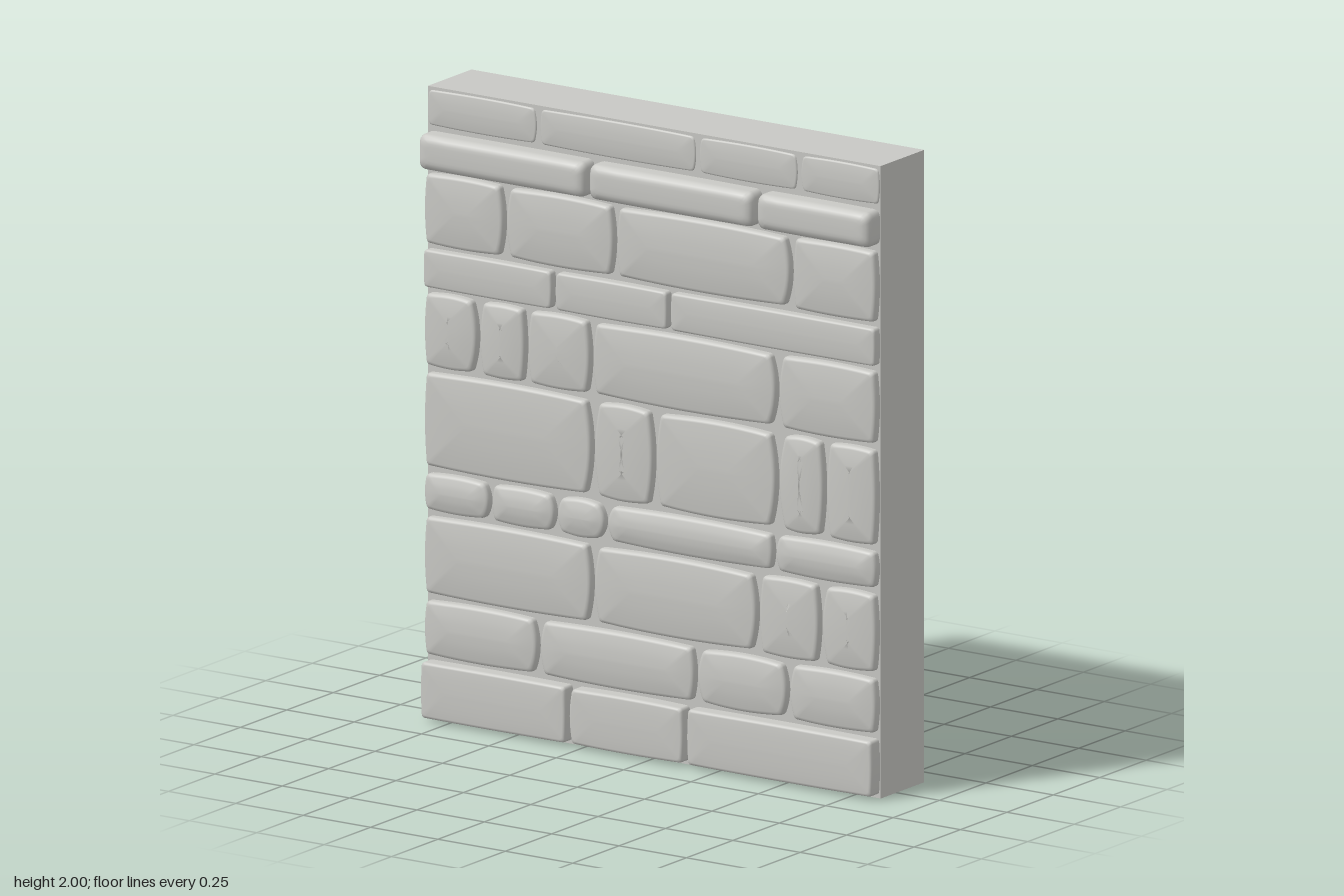
import * as THREE from 'three';

const stoneMat = new THREE.MeshStandardMaterial({ color: 0xc8c8c4 });
stoneMat.name = 'paleGreyStone';

const WALL_FRONT = 0.085;
const HALF_WIDTH = 0.845;
const HALF_GAP = 0.007;

// Stone finishes: front depth, edge rounding, dome of the face, bowing of the sides
const rough = { z: 0.12, edge: 0.012, dome: 0.008, bow: 0.022 };
const plinth = { z: 0.135, edge: 0.01, dome: 0.003, bow: 0.01 };
const band = { z: 0.118, edge: 0.008, dome: 0.003, bow: 0.006 };
const ledge = { z: 0.15, edge: 0.025, dome: 0.001, bow: 0.004 };
const cap = { z: 0.094, edge: 0.006, dome: 0.004, bow: 0.014 };

// Courses from the ground up: top height and upright joints between stones
const courses = [
  { name: 'plinth', finish: plinth, top: 0.197, joints: [-0.293, 0.143] },
  { name: 'lowCourse', finish: rough, top: 0.391, joints: [-0.414, 0.17, 0.512] },
  { name: 'lowTallCourse', finish: rough, top: 0.657, joints: [-0.213, 0.4, 0.632] },
  { name: 'smallCourse', finish: rough, top: 0.793, joints: [-0.593, -0.35, -0.164, 0.46] },
  { name: 'tallestCourse', finish: rough, top: 1.113, joints: [-0.213, 0.016, 0.472, 0.649] },
  { name: 'mixedCourse', finish: rough, top: 1.363, joints: [-0.638, -0.46, -0.218, 0.472] },
  { name: 'bandCourse', finish: band, top: 1.498, joints: [-0.356, 0.072] },
  { name: 'upperCourse', finish: rough, top: 1.741, joints: [-0.539, -0.13, 0.525] },
  { name: 'ledge', finish: ledge, top: 1.869, joints: [-0.213, 0.41] },
  { name: 'topCourse', finish: cap, top: 2, joints: [-0.428, 0.163, 0.54] },
];

// Small seeded generator for the uneven stone sides
let seed = 7;
function random() {
  seed = (seed * 16807) % 2147483647;
  return seed / 2147483647;
}

// Rounded rectangle in counter-clockwise order, with extra points along each side
function roundedOutline(hw, hh, r) {
  const corners = [[1, -1], [1, 1], [-1, 1], [-1, -1]];
  const arcs = corners.map(([sx, sy], k) => [0, 1, 2, 3].map((i) => {
    const a = (k - 1 + i / 3) * Math.PI / 2;
    return new THREE.Vector2(sx * (hw - r) + r * Math.cos(a), sy * (hh - r) + r * Math.sin(a));
  }));
  return arcs.flatMap((arc, k) => {
    const next = arcs[(k + 1) % 4][0];
    const side = [1, 2, 3, 4, 5, 6, 7].map((i) => arc[3].clone().lerp(next, i / 8));
    return [...arc, ...side];
  });
}

// A stone is a bowed outline repeated in rings that step forward and inward
function stoneGeometry(x0, x1, y0, y1, finish, bowL, bowR) {
  const { z, edge, dome } = finish;
  const hw = (x1 - x0) / 2, hh = (y1 - y0) / 2;
  const cx = (x0 + x1) / 2, cy = (y0 + y1) / 2;
  const m = Math.min(hw, hh);
  const bowY = (bowL + bowR) * 0.25;
  const outline = roundedOutline(hw, hh, Math.max(0.01, edge * 0.8));
  const n = outline.length;
  const shoulder = z - dome;
  const pos = [], idx = [];
  const addRing = (inset, rz) => {
    for (const p of outline) {
      const u = p.x / hw, v = p.y / hh;
      const bow = u > 0 ? bowR : bowL;
      const fade = 1 - inset / m;
      pos.push(cx + u * (hw - inset - bow * v * v), cy + v * (hh - inset - bowY * u * u * fade), rz);
    }
  };
  // Side, rounded edge, then domed face
  addRing(0, WALL_FRONT - 0.01);
  for (let i = 0; i <= 3; i++) {
    const a = (i / 3) * Math.PI / 2;
    addRing(edge * (1 - Math.cos(a)), shoulder - edge * (1 - Math.sin(a)));
  }
  for (let i = 1; i <= 3; i++) {
    const t = i / 3;
    addRing(edge + (m * 0.95 - edge) * t, shoulder + dome * (1 - (1 - t) ** 2));
  }
  const last = pos.length / 3 - n;
  for (let k = 0; k < last; k += n) {
    for (let j = 0; j < n; j++) {
      const a = k + j, b = k + (j + 1) % n;
      idx.push(a, b, a + n, b, b + n, a + n);
    }
  }
  // Close the middle of the face
  pos.push(cx, cy, z);
  for (let j = 0; j < n; j++) idx.push(last + j, last + (j + 1) % n, last + n);

  const g = new THREE.BufferGeometry();
  g.setAttribute('position', new THREE.Float32BufferAttribute(pos, 3));
  g.setIndex(idx);
  g.computeVertexNormals();
  return g;
}

export function createModel() {
  const model = new THREE.Group();
  model.name = 'stoneWall';

  // Solid slab behind the stones
  const slab = new THREE.Mesh(new THREE.BoxGeometry(1.68, 2, WALL_FRONT + 0.15), stoneMat);
  slab.position.set(0, 1, (WALL_FRONT - 0.15) / 2);
  slab.name = 'wallSlab';
  model.add(slab);

  // Stone facing, one group per course; the outer ends of a course stay straighter
  let bottom = 0.003;
  for (const { name, finish, top, joints } of courses) {
    const row = new THREE.Group();
    row.name = name;
    const ends = [-HALF_WIDTH, ...joints, HALF_WIDTH];
    for (let i = 0; i <= joints.length; i++) {
      const bowL = finish.bow * (i === 0 ? 0.35 : 0.3 + 0.7 * random());
      const bowR = finish.bow * (i === joints.length ? 0.4 : 0.3 + 0.7 * random());
      const stone = new THREE.Mesh(stoneGeometry(
        ends[i] + HALF_GAP, ends[i + 1] - HALF_GAP, bottom + HALF_GAP, top - HALF_GAP, finish, bowL, bowR), stoneMat);
      stone.name = name + 'Stone';
      row.add(stone);
    }
    model.add(row);
    bottom = top;
  }
  return model;
}
